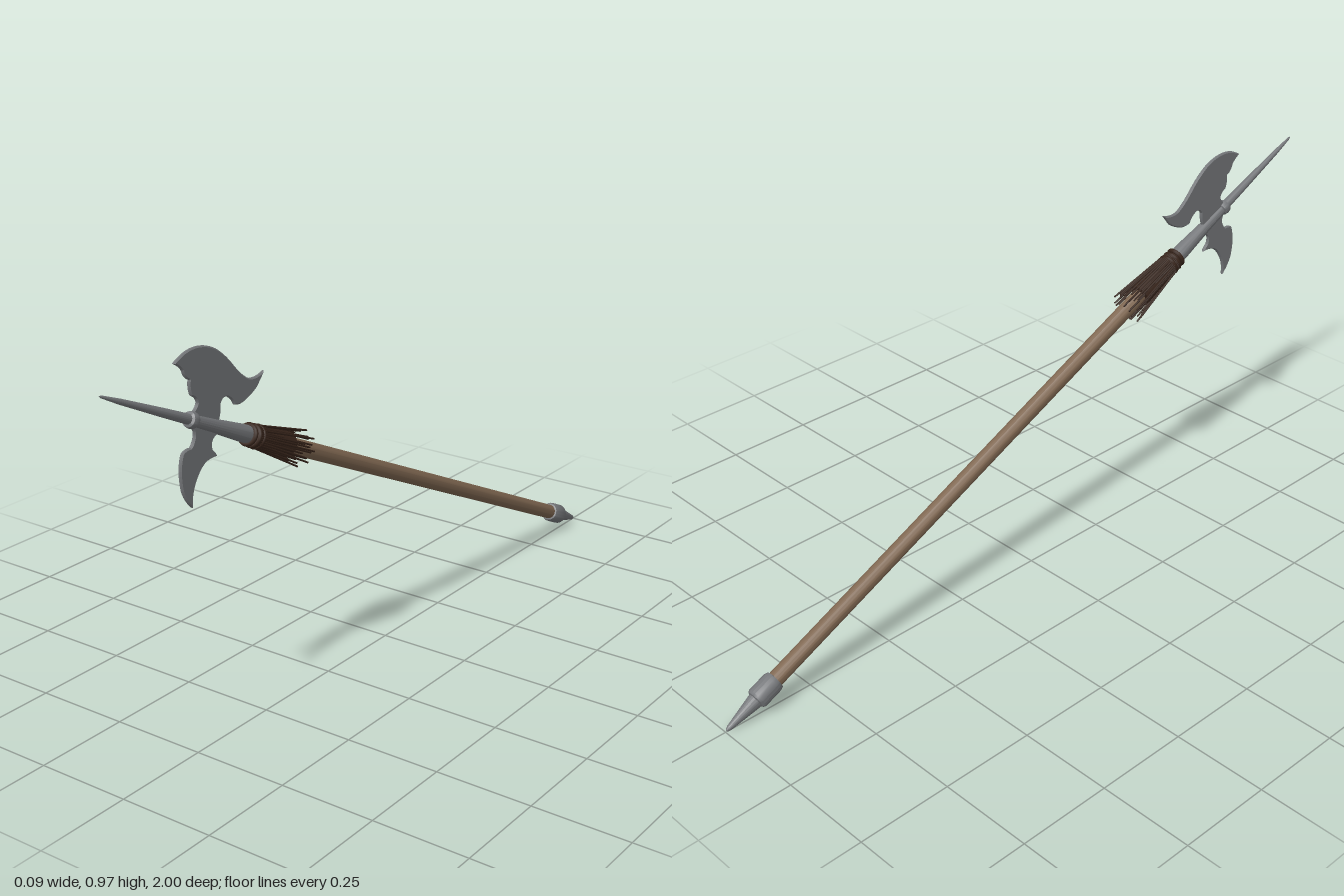
import * as THREE from 'three';
import { toCreasedNormals } from 'three/addons/utils/BufferGeometryUtils.js';

const mat = (name, color) => Object.assign(new THREE.MeshStandardMaterial({ color }), { name });

export function createModel() {
  const steel = mat('steel', 0x75777a);
  const wood = mat('wood', 0x7f6751);
  const leather = mat('darkLeather', 0x38251b);

  // The weapon is built along y, then leaned forward as a whole.
  const model = new THREE.Group();
  model.name = 'polearm';
  const weapon = new THREE.Group();
  weapon.name = 'weapon';
  weapon.position.y = 0.475;
  weapon.rotation.x = Math.acos(0.425);
  model.add(weapon);

  const add = (name, geometry, material, parent = weapon) => {
    const mesh = new THREE.Mesh(geometry, material);
    mesh.name = name;
    parent.add(mesh);
    return mesh;
  };
  // Turned part from [radius, height] pairs, listed bottom to top.
  const turned = (name, profile, material) => add(name, toCreasedNormals(
    new THREE.LatheGeometry(profile.map(p => new THREE.Vector2(...p)), 20), 0.6), material);

  // Shaft and butt
  turned('shaft', [[0.0205, -0.96], [0.0205, 0.6]], wood);
  turned('buttCap', [
    [0, -1.102], [0.004, -1.1], [0.007, -1.092], [0.02, -1.005], [0.025, -1.003], [0.028, -0.997],
    [0.028, -0.948], [0.025, -0.938], [0.0205, -0.937]], steel);

  // Head socket, collar and spike
  turned('socket', [[0.021, 0.57], [0.021, 0.62], [0.016, 0.72], [0.014, 0.8]], steel);
  turned('collar', [[0.013, 0.79], [0.018, 0.793], [0.02, 0.802], [0.018, 0.811], [0.012, 0.814]], steel);
  turned('spike', [[0.0125, 0.8], [0.0105, 0.9], [0.0065, 1.04], [0.003, 1.098], [0, 1.105]], steel);

  // Flat blades: shape x points away from the shaft, y runs along it.
  const blade = (name, start, curves) => {
    const shape = new THREE.Shape();
    shape.moveTo(...start);
    for (const c of curves) c.length === 2 ? shape.lineTo(...c) : shape.quadraticCurveTo(...c);
    const geometry = new THREE.ExtrudeGeometry(shape, {
      depth: 0.004, bevelThickness: 0.003, bevelSize: 0.003, bevelOffset: -0.003,
      bevelSegments: 1, curveSegments: 8,
    });
    geometry.translate(0, 0, -0.002).rotateY(Math.PI / 2);
    add(name, geometry, steel);
  };
  blade('axeBlade', [-0.005, 0.712], [
    [0.015, 0.712], [0.034, 0.712, 0.052, 0.721], [0.074, 0.718, 0.069, 0.697],
    [0.067, 0.683, 0.057, 0.673], [0.058, 0.655, 0.072, 0.639], [0.09, 0.62, 0.109, 0.609],
    [0.15, 0.599], [0.128, 0.619, 0.123, 0.645], [0.124, 0.672, 0.143, 0.714],
    [0.156, 0.742, 0.163, 0.776], [0.17, 0.815, 0.154, 0.853], [0.139, 0.888, 0.105, 0.908],
    [0.105, 0.89, 0.097, 0.875], [0.082, 0.863, 0.082, 0.845], [0.064, 0.842, 0.05, 0.826],
    [0.05, 0.806, 0.038, 0.8], [0.024, 0.799, 0.011, 0.813], [-0.005, 0.805]]);
  blade('rearFluke', [0.005, 0.708], [
    [0.005, 0.802], [-0.015, 0.802], [-0.02, 0.784, -0.033, 0.781], [-0.05, 0.778, -0.06, 0.784],
    [-0.064, 0.798, -0.076, 0.806], [-0.115, 0.806, -0.157, 0.774], [-0.178, 0.755, -0.188, 0.724],
    [-0.155, 0.74, -0.126, 0.735], [-0.1, 0.733, -0.084, 0.72], [-0.072, 0.71, -0.063, 0.686],
    [-0.056, 0.694, -0.053, 0.706], [-0.035, 0.725, -0.019, 0.708]]);

  // Bound fringe below the head
  turned('fringeCore', [[0.02, 0.44], [0.031, 0.442], [0.024, 0.57], [0.02, 0.6]], leather);
  for (const [y, r] of [[0.565, 0.0245], [0.58, 0.0235], [0.595, 0.0225]]) {
    add('fringeBinding', new THREE.TorusGeometry(r, 0.006, 8, 20).rotateX(Math.PI / 2), leather).position.y = y;
  }
  const fringe = new THREE.Group();
  fringe.name = 'fringe';
  weapon.add(fringe);
  const up = new THREE.Vector3(0, 1, 0);
  const count = 36;
  for (let i = 0; i < count; i++) {
    const angle = i / count * Math.PI * 2;
    const spread = 0.027 + 0.006 * (i * 7 % 4);
    const end = 0.375 + 0.013 * (i * 5 % 4);
    const top = new THREE.Vector3(0.025 * Math.sin(angle), 0.578, 0.025 * Math.cos(angle));
    const tip = new THREE.Vector3(spread * Math.sin(angle), end, spread * Math.cos(angle));
    const strand = add('fringeStrand',
      new THREE.CylinderGeometry(0.0032, 0.0024, top.distanceTo(tip), 5), leather, fringe);
    strand.position.lerpVectors(top, tip, 0.5);
    strand.quaternion.setFromUnitVectors(up, top.sub(tip).normalize());
  }
  return model;
}
